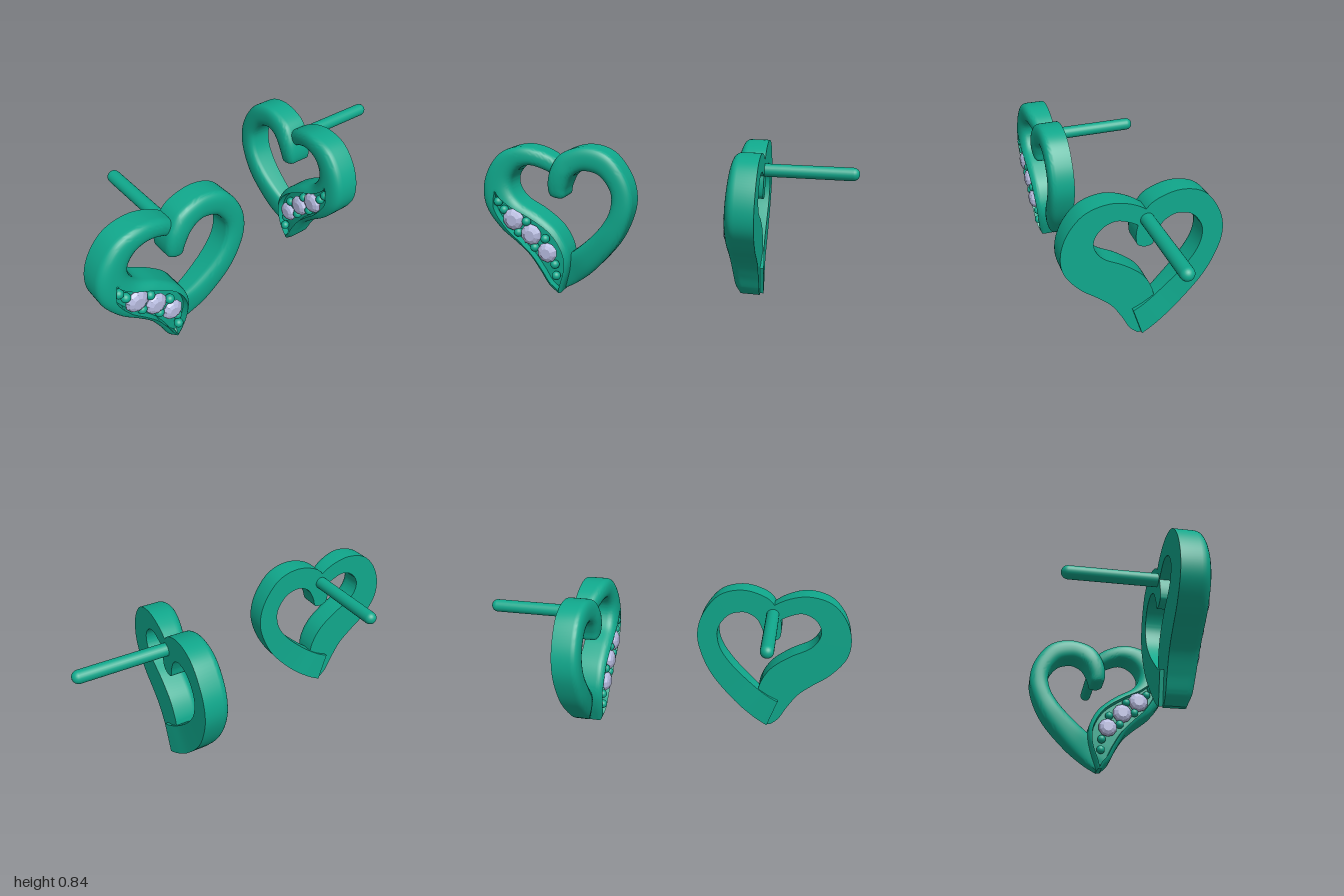
import * as THREE from 'three';
import { toCreasedNormals } from 'three/addons/utils/BufferGeometryUtils.js';

const metal = new THREE.MeshStandardMaterial({ color: 0x10a88c });
const crystal = new THREE.MeshStandardMaterial({ color: 0xb4b8dc, flatShading: true });
crystal.side = THREE.DoubleSide;

// Stations: outer x, y | inner x, y | back z, wall height, peak height, channel width (0..1)
const jewelledStrand = [
  [0.046, 0.735, 0, 0.66, 0, 0.06, 0.10, 0],
  [-0.06, 0.80, -0.08, 0.705, 0, 0.08, 0.125, 0],
  [-0.178, 0.826, -0.15, 0.725, 0, 0.10, 0.14, 0],
  [-0.30, 0.795, -0.215, 0.70, 0, 0.10, 0.145, 0],
  [-0.385, 0.705, -0.256, 0.645, 0, 0.10, 0.15, 0],
  [-0.425, 0.59, -0.254, 0.583, 0, 0.10, 0.155, 0],
  [-0.412, 0.475, -0.208, 0.52, 0, 0.10, 0.16, 0.42],
  [-0.335, 0.366, -0.105, 0.46, 0, 0.105, 0.165, 0.64],
  [-0.243, 0.29, -0.007, 0.38, 0, 0.105, 0.167, 0.74],
  [-0.17, 0.222, 0.046, 0.29, 0, 0.105, 0.165, 0.77],
  [-0.112, 0.13, 0.06, 0.21, 0, 0.10, 0.155, 0.74],
  [-0.071, 0.05, 0.043, 0.12, 0, 0.09, 0.14, 0.6],
  [-0.025, 0.003, -0.002, 0.002, 0, 0.09, 0.11, 0],
];
const hookedStrand = [
  [-0.009, 0.551, 0.009, 0.549, 0, 0.09, 0.10, 0],
  [-0.039, 0.574, 0.043, 0.558, 0, 0.10, 0.13, 0],
  [-0.043, 0.645, 0.057, 0.606, 0, 0.10, 0.145, 0],
  [-0.018, 0.725, 0.087, 0.666, 0, 0.10, 0.15, 0],
  [0.043, 0.80, 0.128, 0.698, 0, 0.10, 0.145, 0],
  [0.176, 0.838, 0.176, 0.709, 0, 0.10, 0.14, 0],
  [0.307, 0.80, 0.249, 0.687, 0, 0.10, 0.14, 0],
  [0.398, 0.68, 0.302, 0.618, 0, 0.10, 0.14, 0],
  [0.426, 0.554, 0.311, 0.547, 0, 0.10, 0.14, 0],
  [0.398, 0.428, 0.284, 0.462, 0, 0.10, 0.14, 0],
  [0.325, 0.29, 0.21, 0.366, 0, 0.09, 0.135, 0],
  [0.192, 0.142, 0.096, 0.263, -0.003, 0.075, 0.115, 0],
  [0.078, 0.053, 0.01, 0.204, -0.013, 0.065, 0.09, 0],
  [-0.005, 0.006, -0.057, 0.172, -0.02, 0.06, 0.07, 0],
];

// Flat-backed, domed cross-section swept between two rails, with an optional sunken channel
function strand(stations, mirror, reverse) {
  const V = (f) => new THREE.CatmullRomCurve3(stations.map(f), false, 'catmullrom', 0.5);
  const outer = V((s) => new THREE.Vector3(s[0], s[1], s[4]));
  const inner = V((s) => new THREE.Vector3(s[2], s[3], s[4]));
  const shape = V((s) => new THREE.Vector3(s[5], s[6], s[7]));
  const steps = (stations.length - 1) * 8, arc = 8, pos = [], index = [];
  let ring = 0;
  const tri = (a, b, c) => (reverse !== (mirror < 0) ? index.push(a, c, b) : index.push(a, b, c));

  for (let i = 0; i <= steps; i++) {
    const o = outer.getPoint(i / steps), n = inner.getPoint(i / steps), p = shape.getPoint(i / steps);
    const e = Math.max(0, p.z);
    const half = [[-1, 0]];
    let h = 0;
    for (let k = 0; k <= arc; k++) {
      const t = Math.cos((k / arc) * Math.acos(e));
      h = p.x + (p.y - p.x) * Math.pow(Math.max(0, 1 - Math.pow(t, 2.4)), 1 / 2.4);
      half.push([-t, h]);
    }
    half.push([-e * 0.94, h - Math.min(0.04, e * 0.15)]);
    const section = half.concat(half.map(([t, z]) => [-t, z]).reverse());
    ring = section.length;
    for (const [t, z] of section) {
      const q = o.clone().lerp(n, (t + 1) / 2);
      pos.push(q.x * mirror, Math.max(0, q.y), q.z + z);
    }
  }
  for (let i = 0; i < steps; i++) {
    for (let j = 0; j < ring; j++) {
      const a = i * ring + j, b = i * ring + ((j + 1) % ring);
      tri(a, a + ring, b);
      tri(b, a + ring, b + ring);
    }
  }
  // End caps
  for (const end of [0, steps]) {
    const base = end * ring, c = pos.length / 3, mid = [0, 0, 0];
    for (let j = 0; j < ring; j++) for (let k = 0; k < 3; k++) mid[k] += pos[(base + j) * 3 + k] / ring;
    pos.push(...mid);
    for (let j = 0; j < ring; j++) {
      const a = base + j, b = base + ((j + 1) % ring);
      if (end) tri(c, b, a); else tri(c, a, b);
    }
  }
  const g = new THREE.BufferGeometry();
  g.setAttribute('position', new THREE.Float32BufferAttribute(pos, 3));
  g.setIndex(index);
  return toCreasedNormals(g, 0.6);
}

function createEarring(mirror) {
  const earring = new THREE.Group();
  const add = (name, geometry, material, x = 0, y = 0, z = 0) => {
    const mesh = new THREE.Mesh(geometry, material);
    mesh.name = name;
    mesh.position.set(x * mirror, y, z);
    earring.add(mesh);
    return mesh;
  };

  add('jewelledStrand', strand(jewelledStrand, mirror, false), metal);
  add('hookedStrand', strand(hookedStrand, mirror, true), metal);

  // Ear post
  const post = new THREE.CapsuleGeometry(0.035, 0.46, 8, 24).rotateX(Math.PI / 2);
  add('post', post, metal, 0.01, 0.705, -0.225);

  // Faceted stones: x, y, radius
  for (const [x, y, r] of [[-0.245, 0.425, 0.062], [-0.145, 0.345, 0.06], [-0.055, 0.248, 0.057]]) {
    const profile = [[0, -0.6], [1, -0.08], [1, 0], [0.82, 0.25], [0.5, 0.42], [0, 0.42]]
      .map(([a, b]) => new THREE.Vector2(a * r, b * r));
    add('stone', new THREE.LatheGeometry(profile, 10).rotateX(Math.PI / 2), crystal, x, y, 0.143);
  }

  // Setting beads around the stones
  const beads = [[-0.33, 0.52], [-0.298, 0.476], [-0.17, 0.417], [-0.22, 0.353],
    [-0.064, 0.326], [-0.128, 0.273], [-0.02, 0.178], [-0.015, 0.112]];
  for (const [x, y] of beads) {
    add('bead', new THREE.SphereGeometry(0.025, 20, 14), metal, x, y, y < 0.2 ? 0.125 : 0.138);
  }
  return earring;
}

export function createModel() {
  const model = new THREE.Group();
  const first = createEarring(1);
  first.name = 'frontFacingEarring';
  first.position.set(-0.575, 0, 0.16);
  const second = createEarring(-1);
  second.name = 'sideFacingEarring';
  second.position.set(0.51, 0, 0);
  second.rotation.y = -Math.PI / 2;
  model.add(first, second);
  return model;
}
